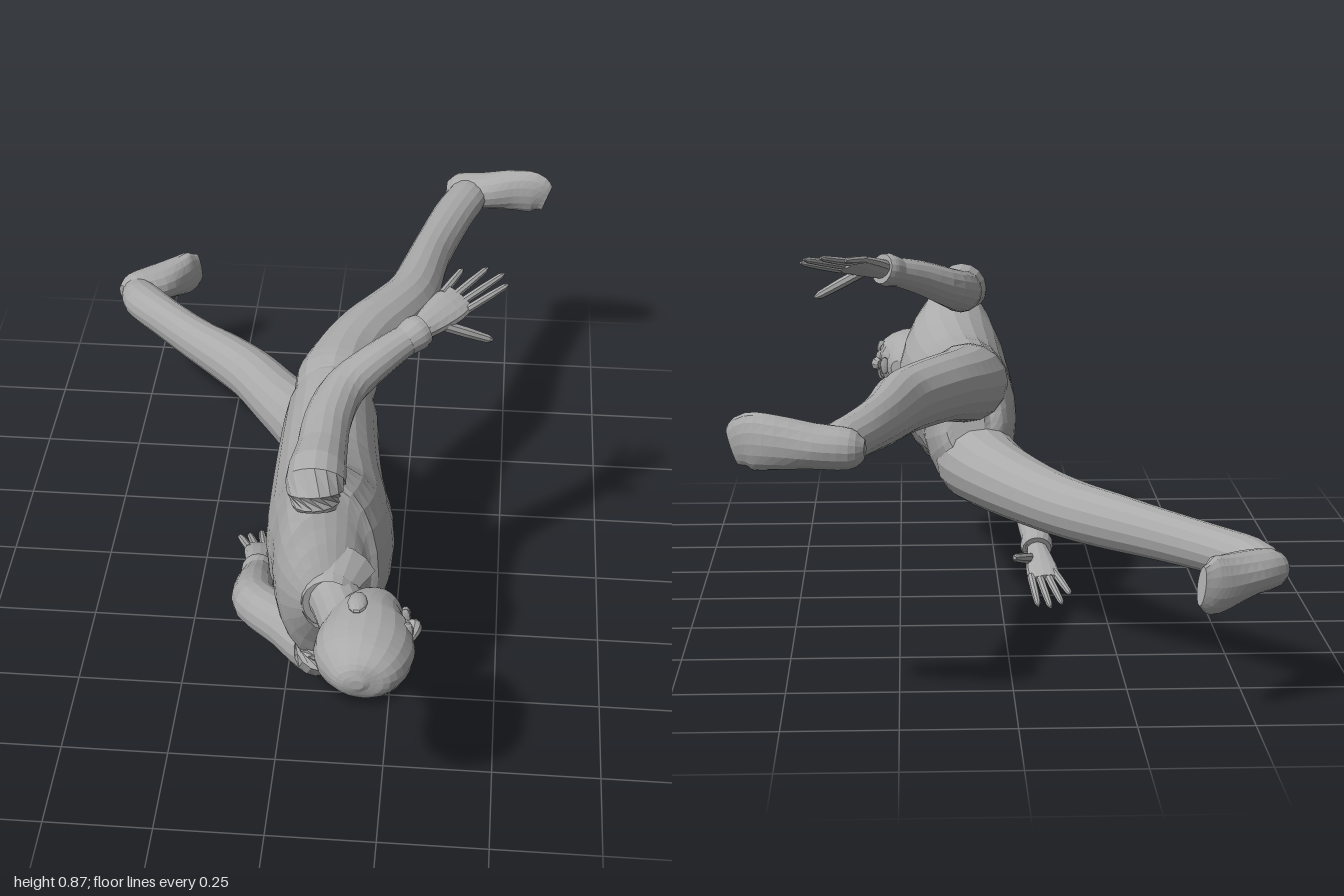
import * as THREE from 'three';

const skin = new THREE.MeshStandardMaterial({ color: 0xaaaaaa, flatShading: true });
skin.name = 'grey';
const sheet = new THREE.MeshStandardMaterial({ color: 0xaaaaaa, flatShading: true, side: THREE.DoubleSide });
sheet.name = 'grey cloth';
const V = (a) => new THREE.Vector3(...a);

// Closed loft through rings [x, y, z, radius along side, radius across]
function loft(name, rings, { side = [0, 1, 0], sides = 16, sub = 3 } = {}) {
  const path = new THREE.CatmullRomCurve3(rings.map((r) => V(r.slice(0, 3))), false, 'catmullrom');
  const size = new THREE.CatmullRomCurve3(rings.map((r) => V([r[3], r[4] ?? r[3], 0])), false, 'catmullrom');
  const n = (rings.length - 1) * sub;
  const pos = [], idx = [];
  for (let i = 0; i <= n; i++) {
    const c = path.getPoint(i / n), r = size.getPoint(i / n), t = path.getTangent(i / n);
    const u = V(side).addScaledVector(t, -V(side).dot(t)).normalize();
    const v = t.clone().cross(u);
    for (let j = 0; j < sides; j++) {
      const a = (j / sides) * Math.PI * 2;
      const p = c.clone().addScaledVector(u, Math.cos(a) * r.x).addScaledVector(v, Math.sin(a) * r.y);
      pos.push(p.x, p.y, p.z);
    }
  }
  const first = (n + 1) * sides, last = first + 1;
  pos.push(...rings[0].slice(0, 3), ...rings[rings.length - 1].slice(0, 3));
  for (let j = 0; j < sides; j++) {
    const k = (j + 1) % sides;
    for (let i = 0; i < n; i++) {
      const a = i * sides + j, b = i * sides + k;
      idx.push(a, b, a + sides, b, b + sides, a + sides);
    }
    idx.push(first, k, j, last, n * sides + j, n * sides + k);
  }
  const g = new THREE.BufferGeometry();
  g.setAttribute('position', new THREE.Float32BufferAttribute(pos, 3));
  g.setIndex(idx);
  g.computeVertexNormals();
  const m = new THREE.Mesh(g, skin);
  m.name = name;
  return m;
}

function blob(name, at, scale) {
  const m = new THREE.Mesh(new THREE.SphereGeometry(1, 10, 8), skin);
  m.position.set(...at);
  m.scale.set(...scale);
  m.name = name;
  return m;
}

// Palm, four fanned fingers and a thumb; knuckles and tips run index to little finger
function hand(name, wrist, knuckles, tips, thumb) {
  const g = new THREE.Group();
  g.name = name;
  const k0 = V(knuckles[0]), k1 = V(knuckles[1]), w = V(wrist);
  const across = k0.clone().sub(k1);
  const half = across.length() / 2 + 0.009;
  const side = across.normalize().toArray();
  const mid = k0.clone().add(k1).multiplyScalar(0.5);
  const at = (t) => w.clone().lerp(mid, t).toArray();
  g.add(loft('palm', [[...at(-0.1), 0.024, 0.024], [...at(0.35), half * 0.85, 0.021],
    [...at(0.8), half, 0.017], [...at(1.08), half * 0.9, 0.01]], { side, sides: 12, sub: 2 }));
  const finger = (n, a, b, r) => {
    const p = (t) => a.clone().lerp(b, t).toArray();
    g.add(loft(n, [[...p(-0.1), r], [...p(0.5), r * 0.95], [...p(0.9), r * 0.75], [...p(1), r * 0.3]],
      { side, sides: 8, sub: 1 }));
  };
  tips.forEach((tip, i) => finger('finger', k0.clone().lerp(k1, i / 3), V(tip), 0.0105));
  finger('thumb', V(thumb[0]), V(thumb[1]), 0.014);
  return g;
}

export function createModel() {
  const man = new THREE.Group();
  man.name = 'man';
  const add = (...m) => man.add(...m);

  // Torso, from neck base to crotch
  add(loft('torso', [
    [0.12, 0.455, 0.71, 0.07, 0.06], [0.107, 0.455, 0.665, 0.165, 0.095], [0.10, 0.455, 0.62, 0.25, 0.115],
    [0.107, 0.455, 0.55, 0.24, 0.14], [0.103, 0.45, 0.46, 0.2, 0.148], [0.085, 0.447, 0.3, 0.178, 0.133],
    [0.075, 0.452, 0.12, 0.186, 0.12], [0.075, 0.455, 0.02, 0.185, 0.112], [0.08, 0.46, -0.04, 0.13, 0.085],
    [0.08, 0.465, -0.06, 0.06, 0.04]], { sides: 24 }));

  // Neck and head
  add(loft('neck', [[0.11, 0.455, 0.64, 0.068], [0.14, 0.455, 0.72, 0.06], [0.175, 0.455, 0.82, 0.062]]));
  add(loft('head', [
    [0.2, 0.457, 0.998, 0.012, 0.015], [0.2, 0.457, 0.983, 0.045, 0.058], [0.205, 0.457, 0.945, 0.073, 0.094],
    [0.209, 0.457, 0.89, 0.083, 0.109], [0.211, 0.457, 0.84, 0.084, 0.104], [0.213, 0.457, 0.8, 0.08, 0.092],
    [0.225, 0.457, 0.76, 0.068, 0.073], [0.243, 0.457, 0.728, 0.05, 0.05], [0.255, 0.457, 0.708, 0.022, 0.022]],
  { sides: 20 }));
  add(loft('nose', [[0.303, 0.457, 0.845, 0.008, 0.008], [0.312, 0.457, 0.815, 0.012, 0.013],
    [0.314, 0.457, 0.792, 0.019, 0.016], [0.304, 0.457, 0.78, 0.012, 0.01]], { sides: 8, sub: 2 }));
  for (const s of [-1, 1]) {
    add(blob('ear', [0.19, 0.457 + s * 0.085, 0.825], [0.022, 0.012, 0.036]));
    add(blob('brow', [0.3, 0.457 + s * 0.033, 0.848], [0.014, 0.023, 0.008]));
    add(blob('eye', [0.295, 0.457 + s * 0.033, 0.828], [0.011, 0.014, 0.007]));
    add(blob('lip', [0.292, 0.457, 0.757 + s * 0.005], [0.012, 0.024, 0.005]));
  }

  // Open collar, with the gap under the chin
  for (const [inner, outer, z, h] of [[0.072, 0.122, 0.69, 0.05], [0.07, 0.085, 0.705, 0.06]]) {
    const geo = new THREE.CylinderGeometry(inner, outer, h, 16, 2, true, Math.PI * 0.64, Math.PI * 1.72);
    const collar = new THREE.Mesh(geo.rotateX(Math.PI / 2), sheet);
    collar.position.set(0.122, 0.455, z);
    collar.scale.x = 0.88;
    collar.name = 'collar';
    add(collar);
  }

  // Arms with cuffs
  add(loft('rightArm', [[0.085, 0.64, 0.62, 0.05], [0.08, 0.695, 0.6, 0.067], [0.085, 0.707, 0.5, 0.058],
    [0.09, 0.72, 0.4, 0.055], [0.12, 0.745, 0.3, 0.05], [0.2, 0.785, 0.22, 0.042], [0.285, 0.815, 0.145, 0.033]]));
  add(loft('rightCuff', [[0.25, 0.803, 0.177, 0.036], [0.275, 0.812, 0.153, 0.042], [0.29, 0.817, 0.14, 0.038]]));
  add(loft('leftArm', [[0.1, 0.27, 0.62, 0.05], [0.09, 0.225, 0.6, 0.067], [0.01, 0.205, 0.5, 0.06],
    [-0.078, 0.187, 0.4, 0.055], [-0.093, 0.162, 0.31, 0.048], [-0.097, 0.122, 0.22, 0.04], [-0.1, 0.09, 0.14, 0.031]]));
  add(loft('leftCuff', [[-0.098, 0.108, 0.185, 0.036], [-0.1, 0.097, 0.157, 0.042], [-0.1, 0.09, 0.14, 0.037]]));
  add(hand('rightHand', [0.285, 0.815, 0.145], [[0.4, 0.83, 0.055], [0.335, 0.855, 0.03]],
    [[0.485, 0.855, -0.015], [0.475, 0.867, -0.045], [0.435, 0.872, -0.06], [0.375, 0.865, -0.06]],
    [[0.335, 0.815, 0.115], [0.455, 0.755, 0.075]]));
  add(hand('leftHand', [-0.1, 0.09, 0.14], [[-0.08, 0.05, 0], [-0.14, 0.06, 0.015]],
    [[-0.09, 0.014, -0.115], [-0.12, 0.011, -0.12], [-0.15, 0.014, -0.1], [-0.172, 0.03, -0.07]],
    [[-0.08, 0.08, 0.09], [-0.035, 0.115, -0.035]]));

  // Legs
  add(loft('rightLeg', [[0.075, 0.55, 0.1, 0.075, 0.08], [0.08, 0.555, 0, 0.096, 0.1], [0.1, 0.567, -0.1, 0.09, 0.088],
    [0.143, 0.58, -0.2, 0.081, 0.08], [0.2, 0.582, -0.3, 0.077, 0.074], [0.245, 0.582, -0.4, 0.073, 0.067],
    [0.283, 0.588, -0.6, 0.06, 0.054], [0.335, 0.598, -0.8, 0.048, 0.055], [0.368, 0.6, -0.9, 0.045, 0.054],
    [0.375, 0.6, -0.96, 0.036, 0.045]]));
  add(loft('leftLeg', [[0.07, 0.365, 0.1, 0.075, 0.08], [0.06, 0.36, 0, 0.1, 0.1], [0.01, 0.345, -0.12, 0.088, 0.09],
    [-0.08, 0.328, -0.26, 0.076, 0.076], [-0.16, 0.322, -0.38, 0.07, 0.069], [-0.24, 0.318, -0.47, 0.066, 0.064],
    [-0.34, 0.312, -0.57, 0.059, 0.055], [-0.44, 0.308, -0.68, 0.054, 0.053], [-0.515, 0.305, -0.77, 0.05, 0.056],
    [-0.545, 0.305, -0.835, 0.036, 0.04]]));

  // Bare feet, heel to toe
  add(loft('rightFoot', [[0.315, 0.6, -0.955, 0.02, 0.02], [0.345, 0.6, -0.952, 0.043, 0.045],
    [0.42, 0.605, -0.942, 0.048, 0.055], [0.5, 0.612, -0.938, 0.058, 0.04], [0.555, 0.612, -0.927, 0.061, 0.027],
    [0.59, 0.6, -0.918, 0.04, 0.012]]));
  add(loft('leftFoot', [[-0.578, 0.305, -0.81, 0.02, 0.02], [-0.55, 0.305, -0.835, 0.043, 0.045],
    [-0.49, 0.305, -0.875, 0.049, 0.057], [-0.437, 0.3, -0.923, 0.06, 0.041], [-0.408, 0.3, -0.95, 0.063, 0.028],
    [-0.383, 0.305, -0.972, 0.042, 0.012]]));
  return man;
}
